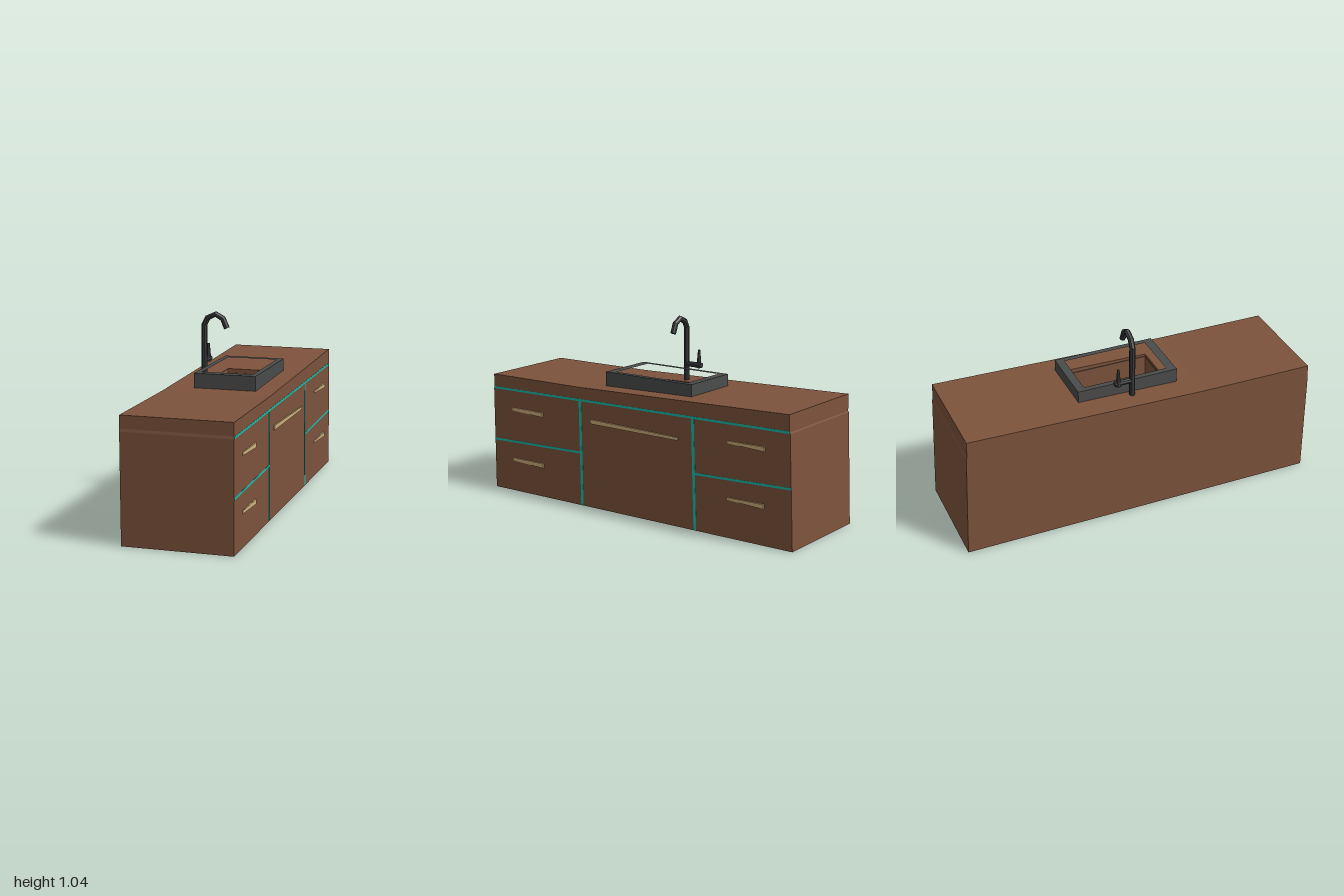
import * as THREE from 'three';

const mat = (color) => new THREE.MeshStandardMaterial({ color, flatShading: true });
const FACE = 0.285; // x of the drawer side

export function createModel() {
  const group = new THREE.Group();
  const wood = mat(0x7d533c), teal = mat(0x14bfae), brass = mat(0xcdb07c);
  const steel = mat(0x4a4c4b), dark = mat(0x393a3c);

  const add = (name, geo, material, parent = group) => {
    const m = new THREE.Mesh(geo, material);
    m.name = name;
    parent.add(m);
    return m;
  };

  // Outline in [z, y], extruded along x from x0 to x1
  const extrudeX = (pts, x0, x1) => {
    const shape = new THREE.Shape(pts.map(([z, y]) => new THREE.Vector2(-z, y)));
    const g = new THREE.ExtrudeGeometry(shape, { depth: x1 - x0, bevelEnabled: false });
    return g.rotateY(Math.PI / 2).translate(x0, 0, 0);
  };

  // Cabinet with its gently rising counter; the middle slice is notched for the basin
  const ends = [[-0.968, 0.703], [-0.97, 0.612], [-0.974, 0.605], [-1, 0], [1, 0], [1, 0.582], [0.997, 0.597], [0.997, 0.665], [0.36, 0.668]];
  const notch = [[0.22, 0.672], [0.22, 0.53], [-0.265, 0.53], [-0.265, 0.684]];
  const cabinet = new THREE.Group();
  cabinet.name = 'cabinet';
  group.add(cabinet);
  const cuts = [-0.3, -0.135, 0.155, FACE];
  for (let i = 0; i < 3; i++) {
    const mid = i === 1 ? notch : [[0.22, 0.672], [-0.265, 0.684]];
    add('cabinetSection', extrudeX([...ends, ...mid], cuts[i], cuts[i + 1]), wood, cabinet);
  }

  // Coloured gaps between the drawer fronts: strips along [z, y] paths
  const strip = (a, b, w) => {
    const dz = b[0] - a[0], dy = b[1] - a[1], l = Math.hypot(dz, dy);
    const n = [-dy / l * w / 2, dz / l * w / 2];
    const pts = [[a[0] + n[0], a[1] + n[1]], [b[0] + n[0], b[1] + n[1]], [b[0] - n[0], b[1] - n[1]], [a[0] - n[0], a[1] - n[1]]];
    return extrudeX(pts, FACE - 0.004, FACE + 0.001);
  };
  [
    [[0.998, 0.588], [0.365, 0.596]], [[0.365, 0.597], [-0.385, 0.605]], [[-0.385, 0.605], [-0.97, 0.612]],
    [[0.366, 0.597], [0.357, 0.003]], [[-0.385, 0.605], [-0.404, 0.003]],
    [[0.998, 0.286], [0.36, 0.301]], [[-0.395, 0.307], [-0.985, 0.325]],
  ].forEach(([a, b], i) => add('drawerGap', strip(a, b, i === 3 || i === 4 ? 0.017 : 0.012), teal));

  // Tapered handles: [z, y, half height, x] at each end
  const handle = (a, b) => {
    const g = new THREE.BoxGeometry(1, 1, 1), p = g.attributes.position;
    for (let i = 0; i < p.count; i++) {
      const [z, y, h, x] = p.getZ(i) > 0 ? a : b;
      p.setXYZ(i, p.getX(i) > 0 ? x : FACE - 0.003, y + Math.sign(p.getY(i)) * h, z);
    }
    add('handle', g, brass);
  };
  for (const y of [0.475, 0.181]) handle([0.86, y + 0.004, 0.008, 0.289], [0.635, y, 0.013, 0.293]);
  for (const y of [0.507, 0.208]) handle([-0.605, y + 0.002, 0.006, 0.288], [-0.83, y, 0.012, 0.296]);
  handle([0.29, 0.488, 0.012, 0.293], [-0.295, 0.478, 0.008, 0.292]);

  // Sink: raised rim with an open basin and a floor
  const rect = (S, x0, x1, z0, z1) => new S([[x0, z0], [x1, z0], [x1, z1], [x0, z1]].map(([x, z]) => new THREE.Vector2(x, -z)));
  const sink = new THREE.Group();
  sink.name = 'sink';
  group.add(sink);
  const ring = (name, o, y0, y1) => {
    const s = rect(THREE.Shape, ...o);
    s.holes.push(rect(THREE.Path, -0.13, 0.15, -0.26, 0.215));
    const g = new THREE.ExtrudeGeometry(s, { depth: y1 - y0, bevelEnabled: false });
    add(name, g.rotateX(-Math.PI / 2).translate(0, y0, 0), steel, sink);
  };
  ring('sinkRim', [-0.16, 0.18, -0.305, 0.265], 0.66, 0.75);
  ring('basinWall', [-0.134, 0.154, -0.264, 0.219], 0.535, 0.66);
  add('basinFloor', new THREE.BoxGeometry(0.285, 0.01, 0.48), steel, sink).position.set(0.01, 0.54, -0.0225);

  // Faucet: rings swept along a bent spout path, mitred at each bend
  const faucet = new THREE.Group();
  faucet.name = 'faucet';
  faucet.position.z = -0.01;
  group.add(faucet);
  const path = [[-0.19, 0.67], [-0.19, 0.97], [-0.17, 1.008], [-0.125, 1.029], [-0.084, 1.006], [-0.062, 0.954]]
    .map(([x, y]) => new THREE.Vector2(x, y));
  const SIDES = 8, R = 0.016, pos = [], idx = [];
  path.forEach((p, i) => {
    const d0 = p.clone().sub(path[Math.max(i - 1, 0)]).normalize();
    const d1 = path[Math.min(i + 1, path.length - 1)].clone().sub(p).normalize();
    const t = d0.add(d1).normalize();
    for (let k = 0; k < SIDES; k++) {
      const a = (k + 0.5) / SIDES * Math.PI * 2, c = Math.cos(a) * R;
      pos.push(p.x + t.y * c, p.y - t.x * c, Math.sin(a) * R);
      if (i === 0) continue;
      const q = (i - 1) * SIDES, n = (k + 1) % SIDES;
      idx.push(q + k, q + SIDES + k, q + n, q + n, q + SIDES + k, q + SIDES + n);
    }
  });
  const last = (path.length - 1) * SIDES;
  for (let k = 1; k < SIDES - 1; k++) idx.push(last, last + k + 1, last + k);
  const spout = new THREE.BufferGeometry();
  spout.setAttribute('position', new THREE.Float32BufferAttribute(pos, 3));
  spout.setIndex(idx);
  spout.computeVertexNormals();
  add('spout', spout, dark, faucet).material.side = THREE.DoubleSide;

  // Side valve and tapered lever
  const valve = add('valve', new THREE.CylinderGeometry(0.015, 0.015, 0.1, 8), dark, faucet);
  valve.rotation.x = Math.PI / 2;
  valve.position.set(-0.19, 0.768, -0.05);
  const lever = add('lever', new THREE.CylinderGeometry(0.007, 0.016, 0.1, 6), dark, faucet);
  lever.position.set(-0.193, 0.803, -0.081);

  return group;
}
